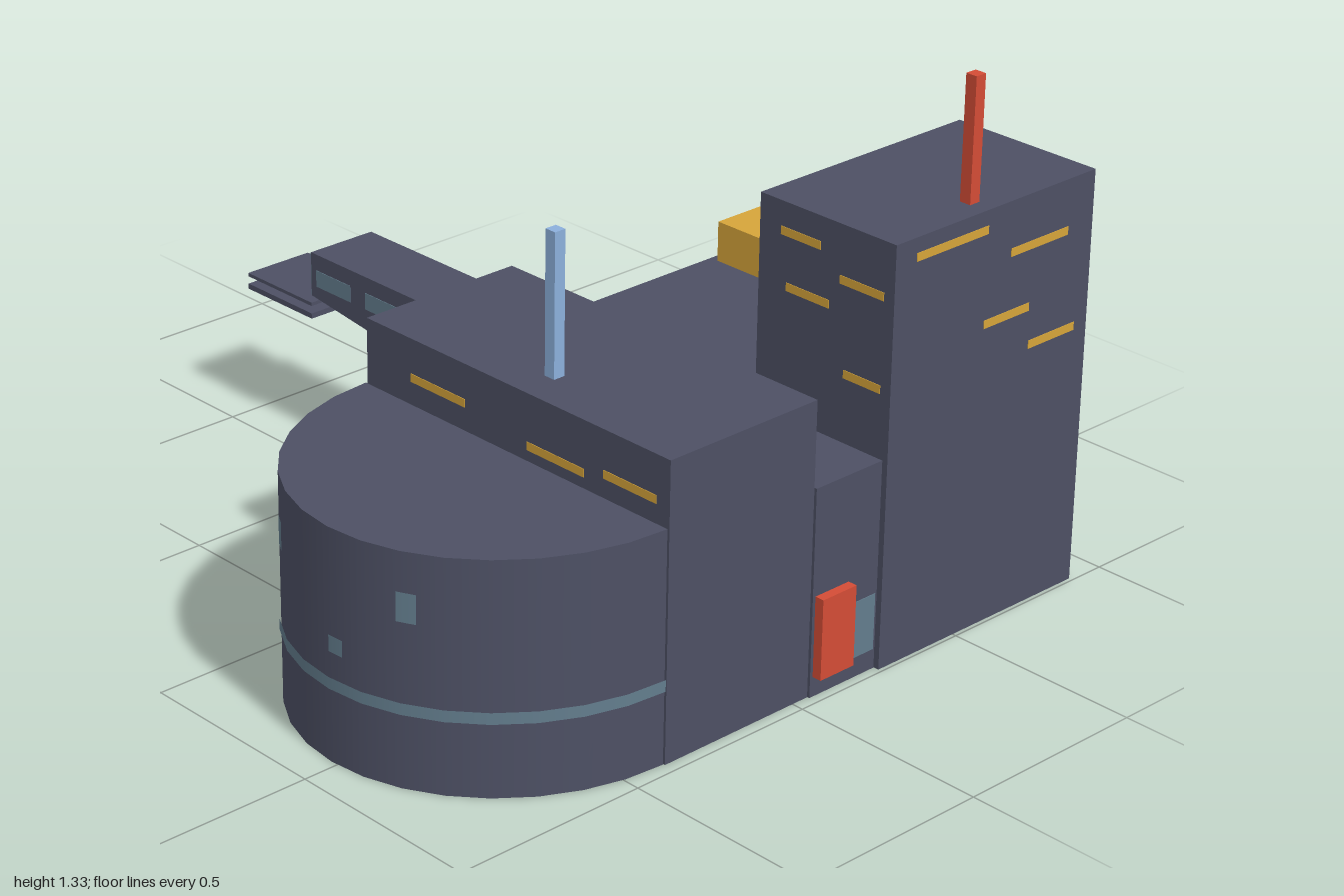
import * as THREE from 'three';

export function createModel() {
  const model = new THREE.Group();
  model.name = 'buildingComplex';

  const paint = (name, color) => {
    const m = new THREE.MeshStandardMaterial({ color });
    m.name = name;
    return m;
  };
  const slate = paint('slate', 0x4d5064);
  slate.side = THREE.DoubleSide; // the volumes are hollow and open underneath
  const glass = paint('glass', 0x637d8d);
  const amber = paint('amber', 0xd6a53a);
  const red = paint('red', 0xd44c36);
  const blue = paint('lightBlue', 0x8cb0dc);

  const add = (name, geometry, material) => {
    const mesh = new THREE.Mesh(geometry, material);
    mesh.name = name;
    model.add(mesh);
    return mesh;
  };
  // Box given by its limits on each axis
  const box = (name, material, [x0, x1], [y0, y1], [z0, z1]) => {
    const g = new THREE.BoxGeometry(x1 - x0, y1 - y0, z1 - z0);
    g.translate((x0 + x1) / 2, (y0 + y1) / 2, (z0 + z1) / 2);
    return add(name, g, material);
  };
  // Box standing on the ground, without its bottom face
  const shell = (name, x, height, z) => {
    const g = box(name, slate, x, [0, height], z).geometry;
    g.setIndex([...g.index.array].filter((_, i) => i < 18 || i >= 24));
    g.clearGroups();
  };
  const around = (v, half = 0.0015) => [v - half, v + half];

  // Main volumes
  shell('middleHall', [-0.391, 0.046], 0.725, [0, 0.97]);
  shell('entranceCorridor', [0.047, 0.253], 0.515, [0.005, 0.976]);
  shell('tower', [0.254, 0.904], 1.03, [0.585, 0.99]);
  shell('rearBlock', [0.254, 0.913], 0.57, [0.02, 0.584]);

  // Half-round wing; angles are measured from its outermost point, positive toward the front
  const arc = (name, material, y0, y1, from, to, grow, segments) => {
    const g = new THREE.CylinderGeometry(1, 1, y1 - y0, segments, 1, true,
      Math.PI * 1.5 + THREE.MathUtils.degToRad(from), THREE.MathUtils.degToRad(to - from));
    g.scale(0.518 + grow, 1, 0.485 + grow);
    g.translate(-0.393, (y0 + y1) / 2, 0.481);
    return add(name, g, material);
  };
  arc('roundWing', slate, 0, 0.565, -90, 90, 0, 16);
  const roof = new THREE.CircleGeometry(1, 16, Math.PI / 2, Math.PI);
  roof.rotateX(-Math.PI / 2).scale(0.518, 1, 0.485).translate(-0.393, 0.565, 0.481);
  add('roundWingRoof', roof, slate);
  arc('roundWingGlassBand', glass, 0.18, 0.208, -90, 90, 0.004, 16);
  arc('roundWingWindow', glass, 0.4, 0.47, 21.4, 26.8, 0.002, 1);
  arc('roundWingWindow', glass, 0.4, 0.47, -31.8, -27.4, 0.002, 1);
  arc('roundWingWindow', glass, 0.27, 0.31, 0, 5, 0.002, 1);

  // Entrance and ground-floor glazing
  box('door', red, [0.055, 0.16], [0.05, 0.25], [0.97, 1]);
  box('entranceGlass', glass, [0.16, 0.247], [0.05, 0.19], around(0.976));
  box('rearGlassBand', glass, [0.254, 0.913], [0.05, 0.14], around(0.02));
  box('corridorRearGlass', glass, [0.047, 0.253], [0.05, 0.14], around(0.005));

  // Tower light strips: [height, start, end]
  const strip = (y) => around(y, 0.01);
  for (const [y, a, b] of [[0.983, 0.32, 0.55], [0.905, 0.63, 0.82], [0.755, 0.55, 0.7], [0.66, 0.705, 0.86]])
    box('towerFrontStrip', amber, [a, b], strip(y), around(0.99));
  for (const [y, a, b] of [[0.955, 0.64, 0.85], [0.85, 0.735, 0.925], [0.735, 0.87, 0.97]])
    box('towerLeftStrip', amber, around(0.904), strip(y), [a, b]);
  for (const [y, a, b] of [[0.96, 0.65, 0.77], [0.9, 0.83, 0.96], [0.83, 0.67, 0.8], [0.68, 0.85, 0.96]])
    box('towerRightStrip', amber, around(0.254), strip(y), [a, b]);
  for (const [y, a, b] of [[0.96, 0.55, 0.82], [0.85, 0.64, 0.74]])
    box('towerRearStrip', amber, [a, b], strip(y), around(0.585));

  // Hall light strips above the round wing
  for (const [y, a, b] of [[0.63, 0.15, 0.33], [0.6, 0.53, 0.71], [0.62, 0.77, 0.93]])
    box('hallStrip', amber, around(-0.391), strip(y), [a, b]);

  // Box projecting from the rear of the tower
  box('towerBalcony', amber, [0.26, 0.478], [0.82, 0.915], [0.45, 0.585]);

  // Roof masts
  box('towerMast', red, around(0.552, 0.015), [1.03, 1.33], around(0.93, 0.015));
  box('hallMast', blue, around(-0.288, 0.015), [0.725, 1.07], around(0.505, 0.015));

  // Tapered cantilever arm
  const side = new THREE.Shape([[0.005, 0.31], [0.005, 0.515], [-0.75, 0.515], [-0.75, 0.4]]
    .map(([z, y]) => new THREE.Vector2(z, y)));
  const arm = new THREE.ExtrudeGeometry(side, { depth: 0.193, bevelEnabled: false });
  arm.rotateY(-Math.PI / 2).translate(0.256, 0, 0);
  add('cantileverArm', arm, slate);
  box('armEndGlass', glass, [0.063, 0.256], [0.402, 0.514], around(-0.75));
  for (let i = 0; i < 4; i++) {
    const z = -0.111 - i * 0.185;
    for (const x of [0.063, 0.256])
      box('armWindow', glass, around(x), [0.43, 0.473], around(z, 0.064));
  }

  // Hanging double platform beyond the arm
  box('platformTop', slate, [0.063, 0.256], [0.37, 0.379], [-1, -0.752]);
  box('platformBottom', slate, [0.063, 0.256], [0.336, 0.35], [-1, -0.752]);
  box('platformPost', slate, around(0.16, 0.004), [0.35, 0.37], around(-0.87, 0.004));

  return model;
}
